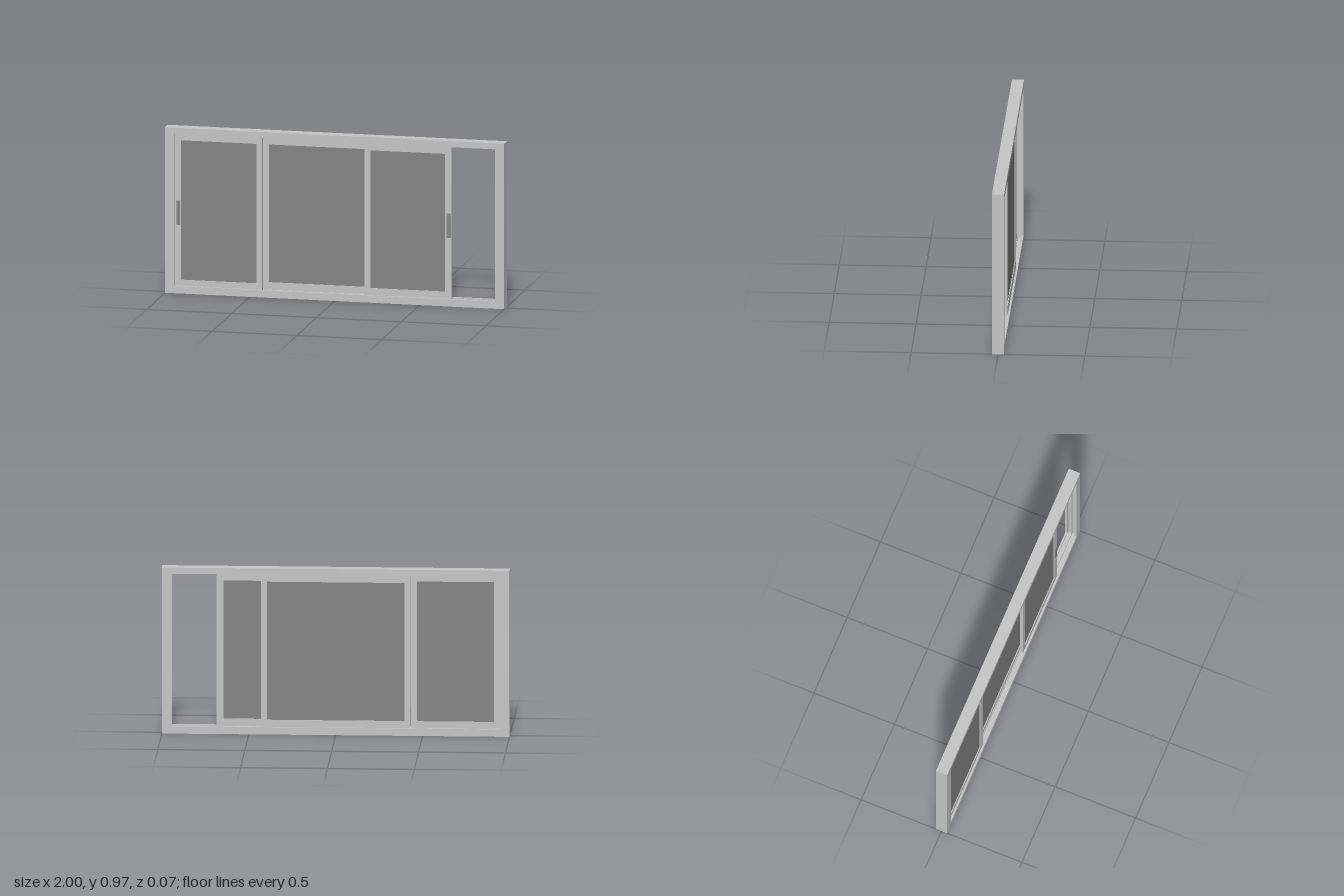
import * as THREE from 'three';

const aluminium = new THREE.MeshStandardMaterial({ color: 0xc6c6c6 });
aluminium.name = 'aluminium';
const darkGlass = new THREE.MeshStandardMaterial({ color: 0x858585 });
darkGlass.name = 'dark glass';

// Rectangular ring between an outer and an inner rectangle [x0, y0, x1, y1]
function ring(name, outer, inner, z0, z1) {
  const trace = (path, [x0, y0, x1, y1]) =>
    path.moveTo(x0, y0).lineTo(x1, y0).lineTo(x1, y1).lineTo(x0, y1).closePath();
  const shape = trace(new THREE.Shape(), outer);
  shape.holes.push(trace(new THREE.Path(), inner));
  const geometry = new THREE.ExtrudeGeometry(shape, { depth: z1 - z0, bevelEnabled: false });
  geometry.translate(0, 0, z0);
  const mesh = new THREE.Mesh(geometry, aluminium);
  mesh.name = name;
  return mesh;
}

function box(name, [x0, y0, x1, y1], z0, z1, material) {
  const mesh = new THREE.Mesh(new THREE.BoxGeometry(x1 - x0, y1 - y0, z1 - z0), material);
  mesh.position.set((x0 + x1) / 2, (y0 + y1) / 2, (z0 + z1) / 2);
  mesh.name = name;
  return mesh;
}

// Sliding sash: frame with a slightly recessed pane
function sash(name, x0, x1, pane, z0, z1) {
  const group = new THREE.Group();
  group.name = name;
  group.add(
    ring('sashFrame', [x0, 0.03, x1, 0.945], pane, z0, z1),
    box('pane', pane, z0 + 0.005, z1 - 0.005, darkGlass)
  );
  return group;
}

export function createModel() {
  const model = new THREE.Group();
  model.name = 'slidingWindow';

  // Outer frame: front and back lips around a deeper channel with a middle rail
  const outer = [-1, 0, 1, 0.973];
  const opening = [-0.945, 0.043, 0.945, 0.937];
  const channel = [-0.965, 0.025, 0.965, 0.953];
  const frame = new THREE.Group();
  frame.name = 'outerFrame';
  frame.add(
    ring('frontLip', outer, opening, 0.024, 0.035),
    ring('channel', outer, channel, -0.024, 0.024),
    ring('backLip', outer, opening, -0.035, -0.024),
    ring('middleRail', channel, [-0.948, 0.04, 0.948, 0.94], -0.002, 0.002)
  );
  model.add(frame);

  // Two sashes on the front track, one on the back track
  model.add(
    sash('rightSash', -0.95, -0.43, [-0.909, 0.078, -0.465, 0.898], 0.003, 0.021),
    sash('leftSash', 0.174, 0.687, [0.207, 0.083, 0.647, 0.893], 0.003, 0.021),
    sash('middleSash', -0.43, 0.43, [-0.396, 0.083, 0.396, 0.893], -0.021, -0.003)
  );

  // Pull handles on the front sashes
  for (const [name, x] of [['rightHandle', -0.925], ['leftHandle', 0.668]]) {
    model.add(box(name, [x - 0.011, 0.4, x + 0.011, 0.543], 0.018, 0.024, darkGlass));
  }
  return model;
}
